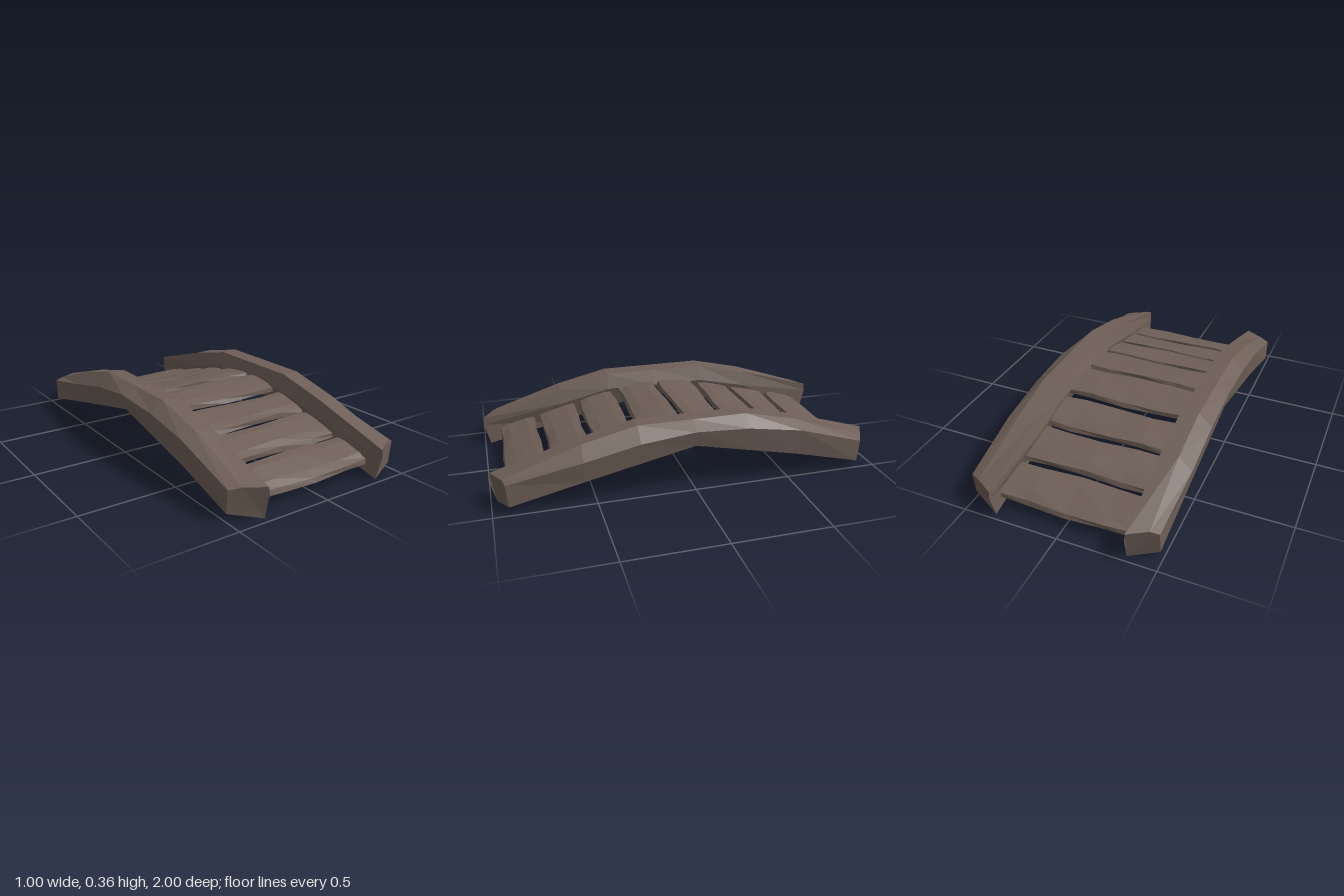
import * as THREE from 'three';

const wood = new THREE.MeshStandardMaterial({ color: 0x6e5f57, flatShading: true, roughness: 0.9 });

// Skins a closed tube over equal-length rings of [x, y, z] and caps both ends.
function loft(rings, name) {
  const n = rings[0].length, pos = [];
  const tri = (a, b, c) => pos.push(...a, ...b, ...c);
  for (let i = 0; i < rings.length - 1; i++) {
    for (let j = 0; j < n; j++) {
      const k = (j + 1) % n;
      const a = rings[i][j], b = rings[i][k], c = rings[i + 1][k], d = rings[i + 1][j];
      tri(a, b, c);
      tri(a, c, d);
    }
  }
  const first = rings[0], last = rings[rings.length - 1];
  for (let j = 1; j < n - 1; j++) {
    tri(first[0], first[j + 1], first[j]);
    tri(last[0], last[j], last[j + 1]);
  }
  const geo = new THREE.BufferGeometry();
  geo.setAttribute('position', new THREE.Float32BufferAttribute(pos, 3));
  geo.computeVertexNormals();
  const mesh = new THREE.Mesh(geo, wood);
  mesh.name = name;
  return mesh;
}

// Arched side beam: bottom inner, bottom outer, outer shoulder, top outer, top inner, inner edge
function makeRail(name) {
  const end = (s, outerX, outerZ) => [
    [0.342, 0.003, 0.97 * s], [outerX, 0.04, (outerZ - 0.01) * s], [outerX, 0.155, outerZ * s],
    [0.44, 0.165, 0.94 * s], [0.345, 0.163, 0.995 * s], [0.345, 0.12, s],
  ];
  const section = (z, low, top, shoulder, inner) => [
    [0.35, low, z], [0.485, low + 0.03, z], [0.5, shoulder, z],
    [0.43, top, z], [0.34, top - 0.003, z], [inner, top - 0.085, z],
  ];
  return loft([
    end(-1, 0.497, 0.91),
    section(-0.56, 0.09, 0.295, 0.26, 0.318),
    section(-0.28, 0.15, 0.36, 0.305, 0.312),
    section(0, 0.21, 0.36, 0.32, 0.308),
    section(0.28, 0.15, 0.36, 0.29, 0.312),
    section(0.56, 0.09, 0.295, 0.23, 0.318),
    end(1, 0.485, 0.93),
  ], name);
}

// Worn plank: thin edges, thicker belly, outline wandering along its length
function makePlank(y, z, width, tilt, seed) {
  const w = width / 2;
  const profile = [
    [-0.026, -w * 0.55], [-0.012, -w], [0.012, -w * 0.95], [0.02, -w * 0.5],
    [0.02, w * 0.5], [0.013, w * 0.95], [-0.01, w], [-0.026, w * 0.55],
  ];
  const rings = [-0.36, -0.2, 0, 0.19, 0.36].map((x, i) => {
    const wave = (k) => Math.sin(seed * 2.3 + i * 1.9 + k * 0.9);
    return profile.map(([dy, dz], k) => [
      x,
      y + dy - dz * tilt + 0.004 * wave(k),
      z + dz + 0.007 * wave(k + 2),
    ]);
  });
  return loft(rings, 'plank');
}

export function createModel() {
  const model = new THREE.Group();
  model.name = 'footbridge';

  // Side beams, one the half-turn copy of the other
  const leftRail = makeRail('leftRail');
  const rightRail = makeRail('rightRail');
  rightRail.rotation.y = Math.PI;
  model.add(leftRail, rightRail);

  // Four planks on each slope: height, distance from the middle, width, tilt
  const rows = [
    [0.271, 0.118, 0.212, 0.14],
    [0.222, 0.358, 0.195, 0.22],
    [0.165, 0.583, 0.2, 0.28],
    [0.1, 0.812, 0.2, 0.31],
  ];
  for (const side of ['front', 'back']) {
    const deck = new THREE.Group();
    deck.name = side + 'Planks';
    rows.forEach(([y, z, width, tilt], i) => deck.add(makePlank(y, z, width, tilt, i + 1)));
    if (side === 'back') deck.rotation.y = Math.PI;
    model.add(deck);
  }
  return model;
}
